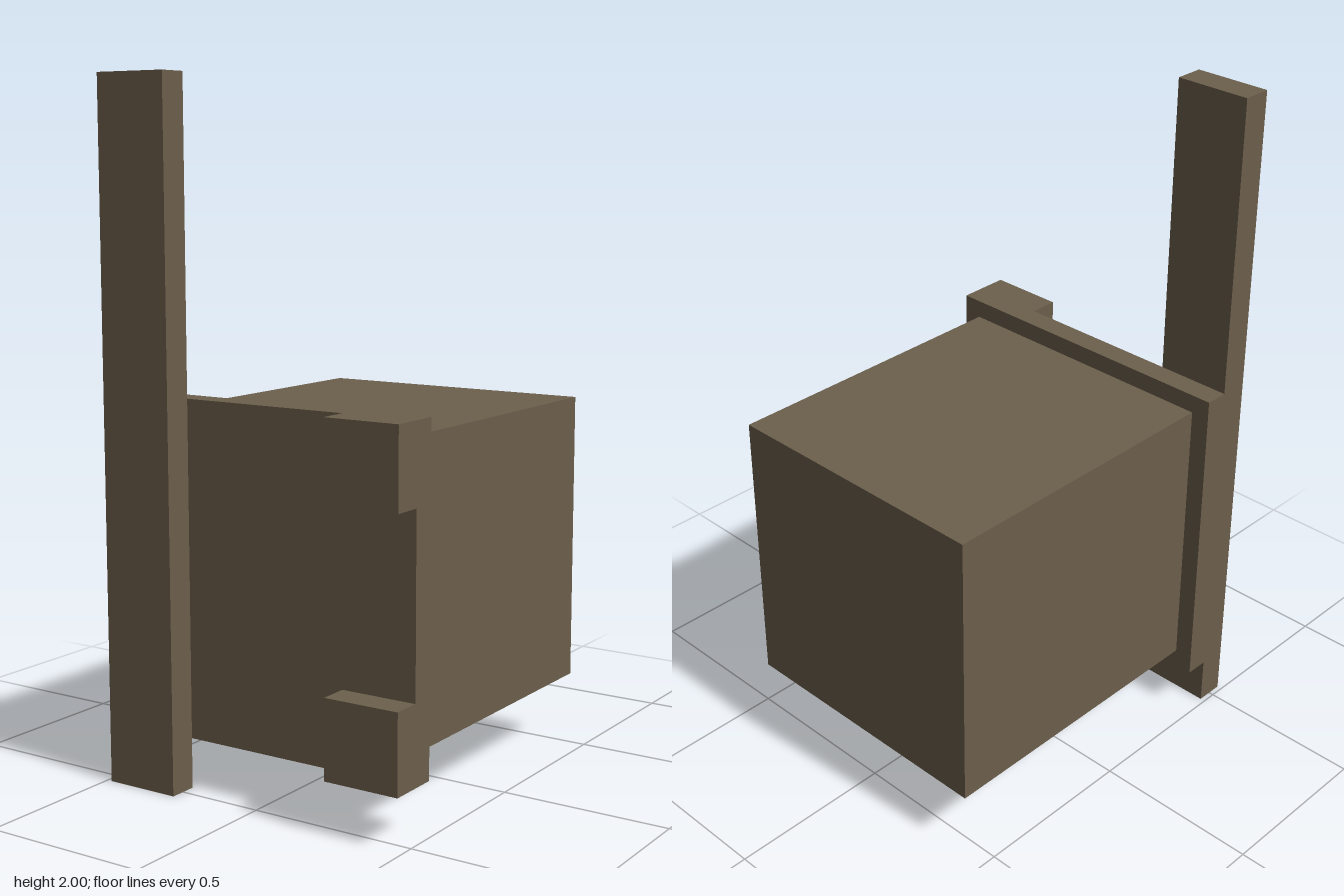
import * as THREE from 'three';

export function createModel() {
  const model = new THREE.Group();
  const brown = new THREE.MeshStandardMaterial({ color: 0x6c5f4c });
  brown.name = 'dull brown';

  // Box given by its limits on each axis
  function block(name, [x0, x1], [y0, y1], [z0, z1]) {
    const mesh = new THREE.Mesh(new THREE.BoxGeometry(x1 - x0, y1 - y0, z1 - z0), brown);
    mesh.position.set((x0 + x1) / 2, (y0 + y1) / 2, (z0 + z1) / 2);
    mesh.name = name;
    model.add(mesh);
  }

  const back = -0.543, plateBack = 0.387, plateFront = 0.457, front = 0.543;
  const side = 0.485, inner = 0.257;

  // Main box and the wider plate on its front
  block('body', [-0.428, 0.428], [0.202, 1.06], [back, plateBack]);
  block('frontPlate', [-side, side], [0.146, 1.115], [plateBack, plateFront]);

  // Tall post on the right, two corner blocks on the left
  block('post', [-side, -inner], [0, 2], [plateFront, front]);
  block('lowerCornerBlock', [inner, side], [0.146, 0.374], [plateFront, front]);
  block('upperCornerBlock', [inner, side], [0.888, 1.115], [plateFront, front]);

  return model;
}
